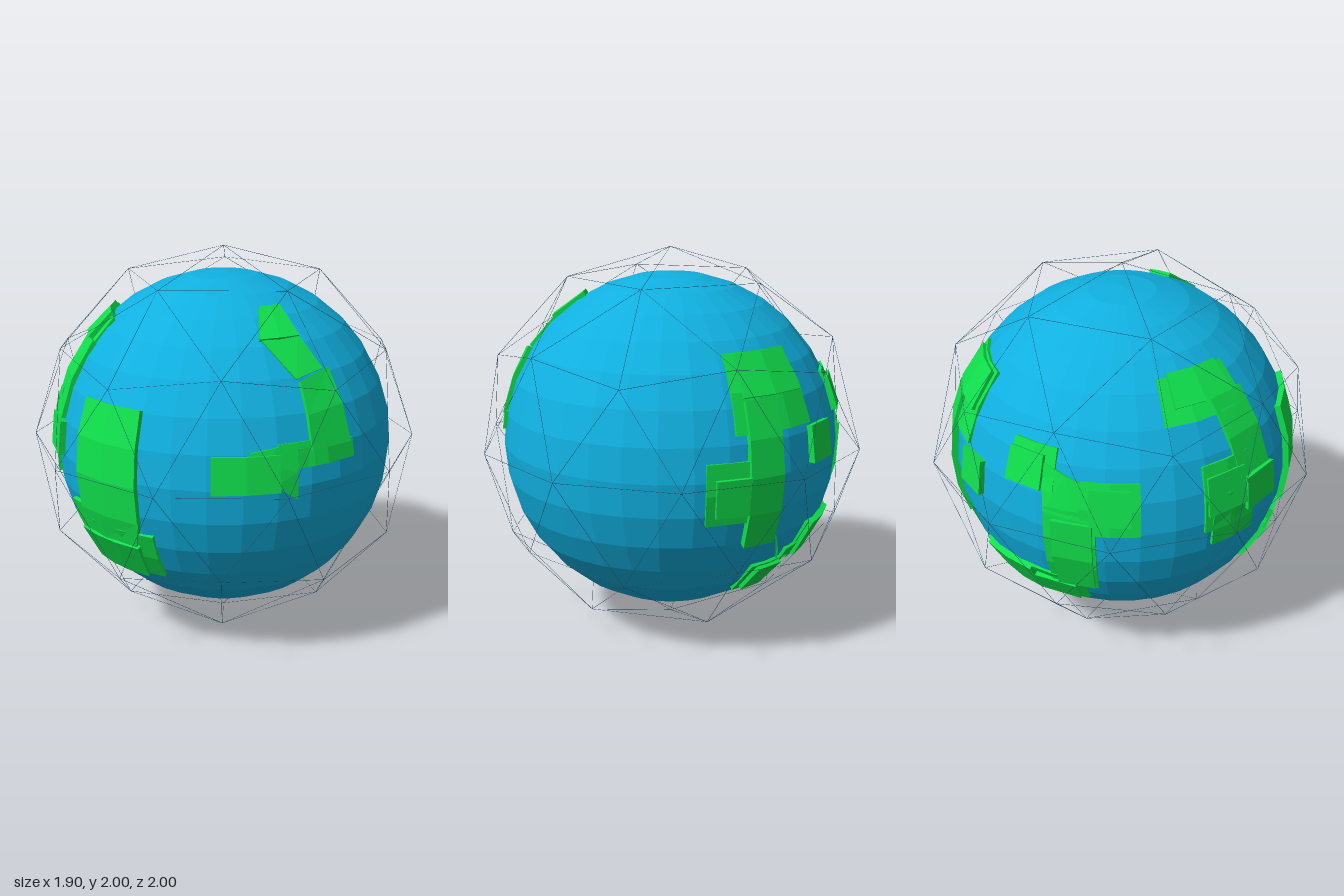
import * as THREE from 'three';
import { mergeGeometries } from 'three/addons/utils/BufferGeometryUtils.js';

const R = 0.873, LOW = 0.886, HIGH = 0.903;

// Point on a globe of radius r; longitude 0 is the front, positive toward +x
function onGlobe(lon, lat, r) {
  const a = THREE.MathUtils.degToRad(lon), b = THREE.MathUtils.degToRad(lat);
  return new THREE.Vector3(Math.sin(a) * Math.cos(b), Math.sin(b), Math.cos(a) * Math.cos(b)).multiplyScalar(r);
}

// Curved plate over four [lon, lat] corners (anticlockwise from outside), with walls sunk into the globe
function plate(c, r) {
  const span = (p, q) => Math.max(1, Math.round(Math.hypot(p[0] - q[0], p[1] - q[1]) / 11.25));
  const nu = span(c[0], c[1]), nv = span(c[1], c[2]);
  const mix = THREE.MathUtils.lerp;
  const at = (i, j, rad) => {
    const u = i / nu, v = j / nv;
    const [lon, lat] = [0, 1].map(k => mix(mix(c[0][k], c[1][k], u), mix(c[3][k], c[2][k], u), v));
    return onGlobe(lon, lat, rad);
  };
  const pos = [];
  const quad = (a, b, d, e) => [a, b, d, a, d, e].forEach(p => pos.push(p.x, p.y, p.z));
  for (let i = 0; i < nu; i++)
    for (let j = 0; j < nv; j++)
      quad(at(i, j, r), at(i + 1, j, r), at(i + 1, j + 1, r), at(i, j + 1, r));
  // rim walls, walking anticlockwise
  const rim = [];
  for (let i = 0; i < nu; i++) rim.push([i, 0]);
  for (let j = 0; j < nv; j++) rim.push([nu, j]);
  for (let i = nu; i > 0; i--) rim.push([i, nv]);
  for (let j = nv; j > 0; j--) rim.push([0, j]);
  rim.forEach((p, k) => {
    const q = rim[(k + 1) % rim.length];
    quad(at(...p, 0.85), at(...q, 0.85), at(...q, r), at(...p, r));
  });
  const g = new THREE.BufferGeometry();
  g.setAttribute('position', new THREE.Float32BufferAttribute(pos, 3));
  g.computeVertexNormals();
  return g;
}

// Rectangular plates between two longitudes and two latitudes
const rect = (a, b, s, n, r) => plate([[a, s], [b, s], [b, n], [a, n]], r);
const high = (a, b, s, n) => rect(a, b, s, n, HIGH);
const low = (a, b, s, n) => rect(a, b, s, n, LOW);

// Thin icosphere cage: 12 icosahedron corners plus the edge midpoints pushed to the unit sphere
function cageGeometry() {
  const pts = [onGlobe(0, 90, 1), onGlobe(0, -90, 1)];
  const lat = THREE.MathUtils.radToDeg(Math.atan(0.5));
  for (let k = 0; k < 5; k++) pts.push(onGlobe(90 + 72 * k, lat, 1), onGlobe(54 + 72 * k, -lat, 1));
  const pairs = (list, limit) => {
    const out = [];
    list.forEach((p, i) => list.slice(i + 1).forEach(q => { if (p.distanceTo(q) < limit) out.push([p, q]); }));
    return out;
  };
  const mids = pairs(pts, 1.1).map(([p, q]) => p.clone().add(q).normalize());
  const up = new THREE.Vector3(0, 1, 0);
  const struts = pairs([...pts, ...mids], 0.65).map(([p, q]) => {
    const d = q.clone().sub(p), m = p.clone().add(q).multiplyScalar(0.5);
    const g = new THREE.CylinderGeometry(0.001, 0.001, d.length(), 4, 1, true);
    g.applyQuaternion(new THREE.Quaternion().setFromUnitVectors(up, d.normalize()));
    return g.translate(m.x, m.y, m.z);
  });
  return mergeGeometries(struts);
}

export function createModel() {
  const model = new THREE.Group();
  model.name = 'globe';
  const flat = color => new THREE.MeshStandardMaterial({ color, flatShading: true });
  const land = flat(0x10e04c);
  const add = (name, geometry, material) => {
    const mesh = new THREE.Mesh(geometry, material);
    mesh.name = name;
    mesh.position.y = 1;
    model.add(mesh);
  };

  add('ocean', new THREE.SphereGeometry(R, 32, 16), flat(0x10b0e0));
  add('cage', cageGeometry(), flat(0x2a4a66));

  const continents = {
    frontContinent: [
      high(-21, 0, -0.5, 11),
      plate([[-9, 7], [6, -4], [6, 14], [-9, 12]], LOW),
      low(0, 12, 6, 14),
      plate([[11, 11], [26.5, 11], [25.5, 35], [11, 32]], 0.894),
      low(6, 28, 6, 12),
      plate([[10, 33], [23, 35], [19, 48], [-1, 48]], LOW),
      plate([[-1, 47], [19, 47], [20, 60], [5, 60]], 0.893),
    ],
    frontRightContinent: [
      high(-70, -45, -13, 23),
      plate([[-76, -23], [-48, -23], [-45, -13], [-78, -13]], 0.893),
      plate([[-78, -37], [-48, -37], [-47, -23], [-76, -23]], HIGH),
      low(-80, -41, -37, -18),
    ],
    rightContinent: [
      high(-120, -93, 39, 50),
      low(-125, -88, 34, 49),
      plate([[-100, 12], [-86, 12], [-87, 39], [-104, 39]], 0.893),
      high(-98, -84, 0, 11.25),
      plate([[-113, 3], [-98, 3], [-98, 16], [-113, 16]], 0.897),
      low(-114, -95, -3, 20),
      low(-111, -94, -9, 3),
    ],
    backLeftContinent: [
      high(130, 155, 25, 39),
      low(126, 157, 14, 40),
      high(130, 142, -23, 24),
      high(119, 130, -11, 1),
      low(116, 131, -14, 6),
      plate([[128, -20], [144, -22], [154, -37], [142, -37]], LOW),
      high(142, 155, -49, -36),
      low(139, 158, -51, -35),
      low(155, 168, -36, -31),
    ],
    backContinent: [
      high(164, 186, -36, -22),
      low(162, 206, -38, -22),
      high(187, 203, -35, -25),
      high(197, 210, -24, 4),
      low(194, 211, -26, 8),
      high(209, 222, 4, 16),
      low(206, 225, 0, 18),
      plate([[194, 6], [212, 4], [210, 16], [192, 22]], LOW),
      high(180, 193, 13, 24),
      low(180, 197, 13, 27),
    ],
    island: [high(156, 168, 1, 13)],
  };
  for (const [name, parts] of Object.entries(continents)) add(name, mergeGeometries(parts), land);

  return model;
}
